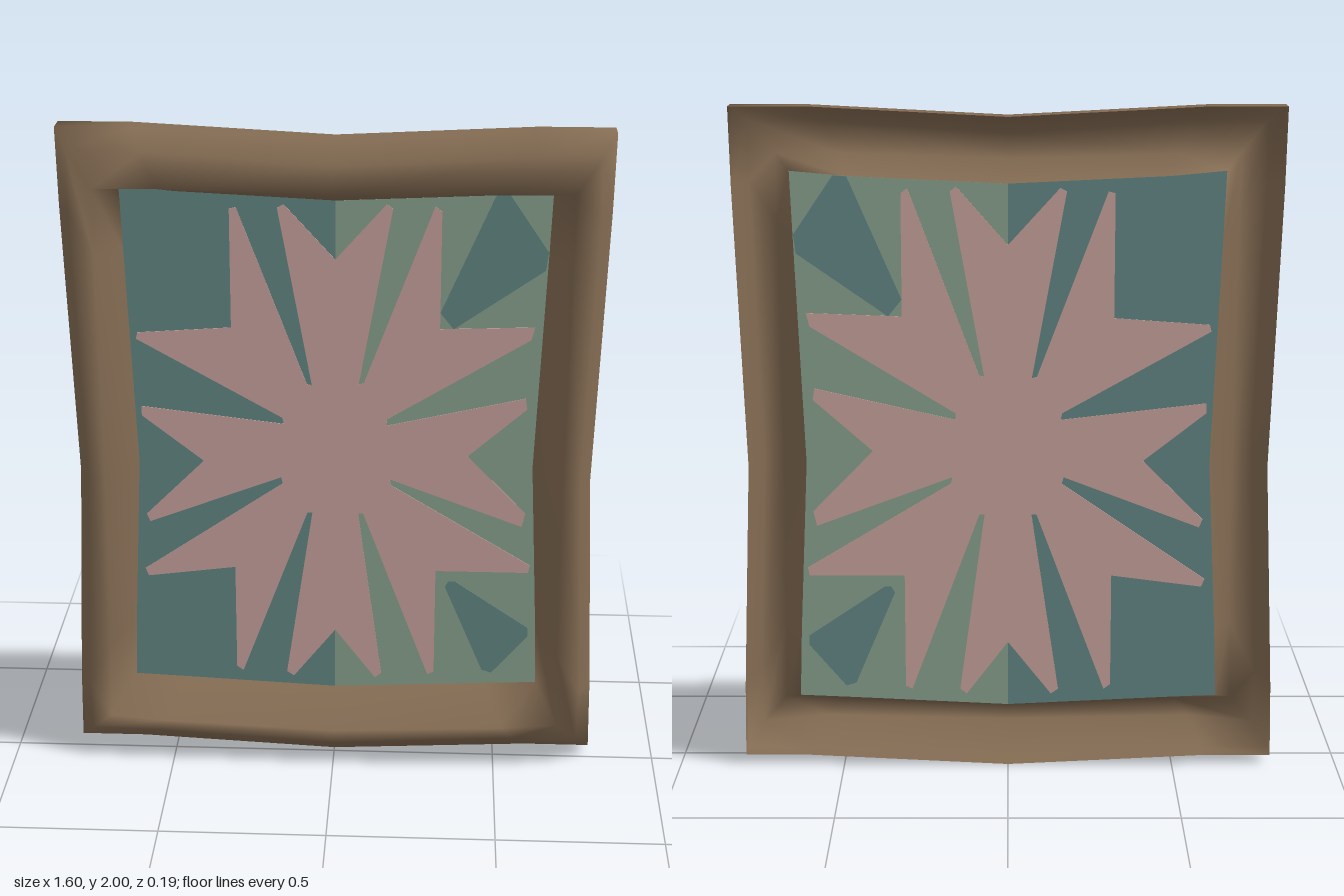
import * as THREE from 'three';

const colour = (name, hex) => {
  const m = new THREE.MeshStandardMaterial({ color: hex, side: THREE.DoubleSide });
  m.name = name;
  return m;
};

const PANE_Z = -0.077;

// Half outlines on the +x side, from bottom centre to top centre.
const OUTER = [[0, 0], [0.6, 0.03], [0.8, 0.03], [0.796, 0.25], [0.768, 0.94], [0.796, 1.77], [0.8, 2], [0.58, 2], [0, 1.97]];
const INNER = [[0, 0.19], [0.47, 0.213], [0.63, 0.22], [0.623, 0.42], [0.597, 0.95], [0.623, 1.62], [0.63, 1.815], [0.47, 1.8], [0, 1.778]];
const SHOULDER = [
  [0, 0.08, 0.088], [0.56, 0.1, 0.07], [0.755, 0.09, 0.045], [0.76, 0.25, 0.045], [0.735, 0.94, 0.042],
  [0.76, 1.77, 0.045], [0.76, 1.95, 0.045], [0.55, 1.945, 0.045], [0, 1.91, 0.035],
];
const RIDGE = [
  [0, 0.125, 0.095], [0.52, 0.145, 0.09], [0.69, 0.155, 0.083], [0.685, 0.4, 0.083], [0.68, 0.94, 0.08],
  [0.685, 1.65, 0.083], [0.685, 1.848, 0.085], [0.5, 1.848, 0.075], [0, 1.835, 0.06],
];

const atZ = (ring, z) => ring.map(([x, y]) => [x, y, z]);

// Full counter-clockwise loop from a half outline.
const mirror = (half) => [...half, ...half.slice(1, -1).reverse().map(([x, ...rest]) => [-x, ...rest])];

// Skin over a list of half rings, from outside to inside.
function loft(halfRings) {
  const rings = halfRings.map(mirror);
  const n = rings[0].length;
  const index = [];
  for (let r = 0; r < rings.length - 1; r++) {
    for (let i = 0; i < n; i++) {
      const k = (i + 1) % n;
      const a = r * n + i, b = r * n + k, c = (r + 1) * n + k, d = (r + 1) * n + i;
      index.push(a, b, c, a, c, d);
    }
  }
  const g = new THREE.BufferGeometry();
  g.setAttribute('position', new THREE.Float32BufferAttribute(rings.flat(2), 3));
  g.setIndex(index);
  g.computeVertexNormals();
  return g;
}

// Very thin glass piece centred on the pane plane, showing on both sides.
function glass(name, points, thickness, material) {
  const shape = new THREE.Shape(points.map(([x, y]) => new THREE.Vector2(x, y)));
  const g = new THREE.ExtrudeGeometry(shape, { depth: thickness, bevelEnabled: false });
  g.translate(0, 0, PANE_Z - thickness / 2);
  const mesh = new THREE.Mesh(g, material);
  mesh.name = name;
  return mesh;
}

export function createModel() {
  const wood = colour('brown wood', 0x846c53);
  const teal = colour('teal glass', 0x658b88);
  const green = colour('green glass', 0x8ea792);
  const pink = colour('pink glass', 0xcea8a3);

  const model = new THREE.Group();
  model.name = 'stainedGlassWindow';

  // Hollow moulding, open at the back
  const frame = new THREE.Mesh(
    loft([atZ(OUTER, -0.09), atZ(OUTER, -0.02), SHOULDER, RIDGE, atZ(INNER, PANE_Z)]), wood);
  frame.name = 'frame';
  model.add(frame);

  model.add(
    // Two glass halves meeting on the centre line
    glass('rightPane', INNER.map(([x, y]) => [-x, y]), 0.001, teal),
    glass('leftPane', INNER, 0.001, green),

    // Teal tiles in the corners of the green half
    glass('upperCornerTile', [
      [0.31, 1.44], [0.35, 1.39], [0.615, 1.575], [0.622, 1.63], [0.505, 1.802], [0.465, 1.799],
    ], 0.003, teal),
    glass('lowerCornerTile', [
      [0.34, 0.545], [0.46, 0.26], [0.49, 0.25], [0.6, 0.38], [0.6, 0.41], [0.37, 0.565], [0.35, 0.565],
    ], 0.003, teal),

    // Many-pointed star, clockwise from the top notch
    glass('star', [
      [0, 1.6], [0.15, 1.77], [0.168, 1.755], [0.07, 1.21], [0.085, 1.215], [0.29, 1.765], [0.31, 1.75],
      [0.31, 1.39], [0.59, 1.4], [0.58, 1.36], [0.155, 1.1], [0.155, 1.08], [0.57, 1.175], [0.575, 1.14],
      [0.4, 0.985], [0.58, 0.8], [0.57, 0.755], [0.165, 0.905], [0.17, 0.885], [0.6, 0.625], [0.595, 0.6],
      [0.31, 0.6], [0.31, 0.25], [0.29, 0.24], [0.085, 0.79], [0.07, 0.79], [0.145, 0.24], [0.125, 0.225],
      [0, 0.39], [-0.13, 0.225], [-0.152, 0.24], [-0.07, 0.79], [-0.085, 0.79], [-0.29, 0.24], [-0.31, 0.255],
      [-0.31, 0.6], [-0.58, 0.565], [-0.59, 0.59], [-0.16, 0.885], [-0.165, 0.905], [-0.57, 0.75], [-0.58, 0.775],
      [-0.4, 0.955], [-0.585, 1.1], [-0.585, 1.13], [-0.155, 1.08], [-0.16, 1.1], [-0.595, 1.345], [-0.59, 1.365],
      [-0.31, 1.385], [-0.31, 1.75], [-0.29, 1.755], [-0.085, 1.21], [-0.07, 1.205], [-0.17, 1.755], [-0.15, 1.765],
    ], 0.005, pink),
  );

  return model;
}
